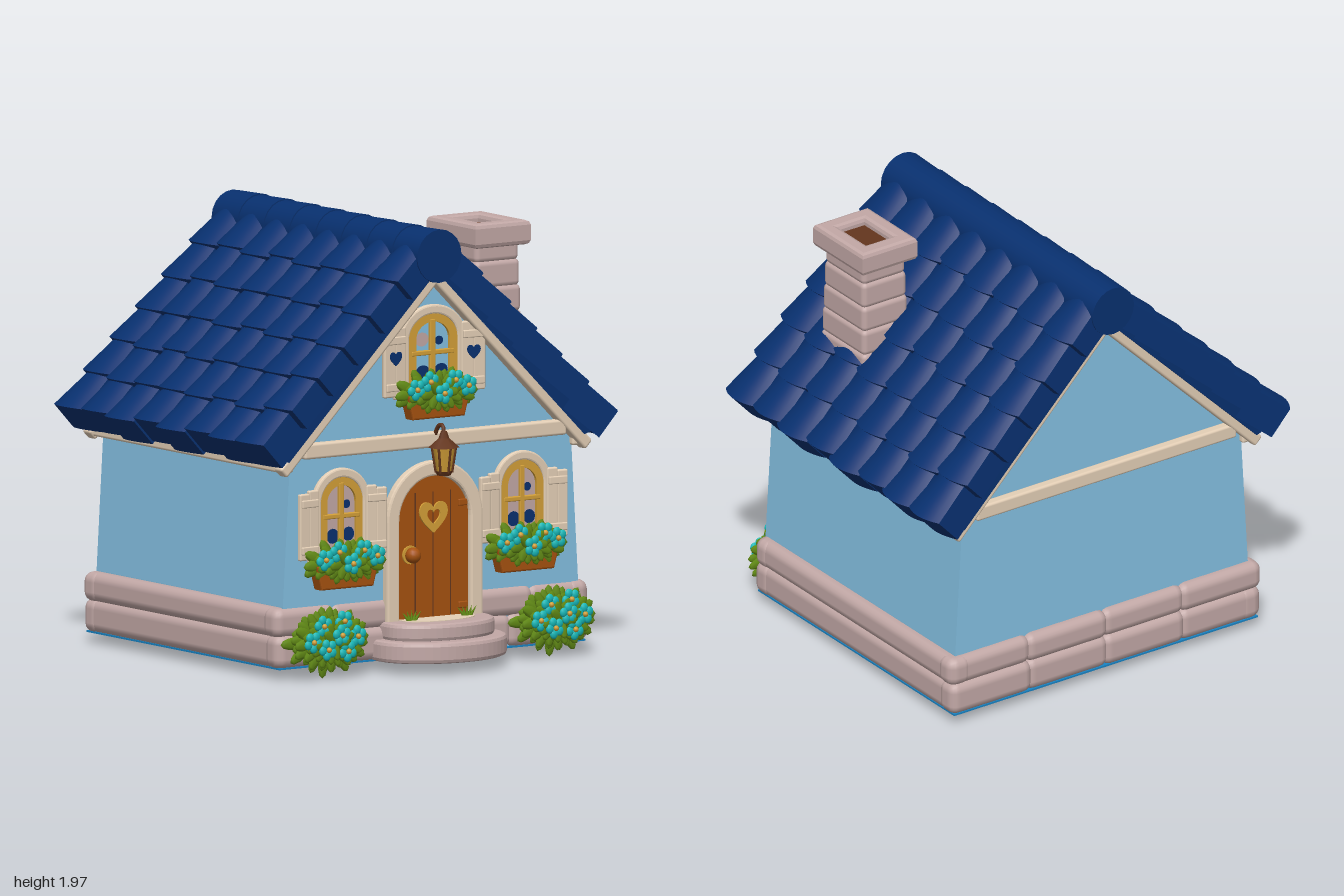
import * as THREE from 'three';
import { mergeGeometries } from 'three/addons/utils/BufferGeometryUtils.js';
import { RoundedBoxGeometry } from 'three/addons/geometries/RoundedBoxGeometry.js';

const paint = (name, color) => { const m = new THREE.MeshStandardMaterial({ color }); m.name = name; return m; };
const wallBlue = paint('wall blue', 0x84c0e2), roofBlue = paint('roof blue', 0x08306f), stone = paint('stone', 0xc2a8a6),
  cream = paint('cream', 0xe4cfb6), wood = paint('orange wood', 0xa65210), gold = paint('gold', 0xd4a038),
  leafGreen = paint('leaf green', 0x648e16), petal = paint('teal petal', 0x18bcbc), darkBrown = paint('dark brown', 0x64361e),
  floorBlue = paint('floor blue', 0x1a84c4);

export function createModel() {
  const model = new THREE.Group();
  model.name = 'cottage';
  const add = (parent, name, geo, mat, x = 0, y = 0, z = 0) => {
    const m = new THREE.Mesh(geo, mat);
    m.name = name; m.position.set(x, y, z); parent.add(m);
    return m;
  };
  const group = (parent, name, x = 0, y = 0, z = 0) => {
    const g = new THREE.Group(); g.name = name; g.position.set(x, y, z); parent.add(g);
    return g;
  };
  const rbox = (w, h, d, r = 0.012) => new RoundedBoxGeometry(w, h, d, 2, r);
  const poly = pts => new THREE.Shape(pts.map(p => new THREE.Vector2(...p)));
  const extrude = (shape, depth, bevel = 0) => new THREE.ExtrudeGeometry(shape, {
    depth, curveSegments: 14, bevelEnabled: bevel > 0, bevelSize: bevel, bevelThickness: bevel, bevelSegments: 2, bevelOffset: -bevel });
  const arch = (w, y0, y1, Type = THREE.Shape) => {
    const s = new Type();
    s.moveTo(-w, y0); s.lineTo(w, y0); s.lineTo(w, y1 - w); s.absarc(0, y1 - w, w, 0, Math.PI, false); s.lineTo(-w, y0);
    return s;
  };
  const archRing = (w, y0, y1, wi, yi0, yi1) => {
    const s = arch(w, y0, y1); s.holes.push(arch(wi, yi0, yi1, THREE.Path)); return s;
  };
  const heart = (r, Type = THREE.Shape) => {
    const s = new Type();
    s.moveTo(0, -r);
    s.bezierCurveTo(r * 0.5, -r * 0.6, r * 1.1, -r * 0.1, r, r * 0.4);
    s.bezierCurveTo(r * 0.9, r, r * 0.2, r, 0, r * 0.45);
    s.bezierCurveTo(-r * 0.2, r, -r * 0.9, r, -r, r * 0.4);
    s.bezierCurveTo(-r * 1.1, -r * 0.1, -r * 0.5, -r * 0.6, 0, -r);
    return s;
  };

  // Walls and floor
  add(model, 'walls', extrude(poly([[-0.8, 0.03], [0.8, 0.03], [0.8, 0.3], [0.76, 0.98], [0, 1.74], [-0.76, 0.98], [-0.8, 0.3]]),
    1.45), wallBlue, 0, 0, -0.83);
  add(model, 'floor', new THREE.BoxGeometry(1.66, 0.008, 1.5), floorBlue, 0, 0.026, -0.115);

  // Two courses of foundation stones, leaving the doorway clear
  const stones = [];
  const course = (y, h, hx, hz, n, gap) => {
    const row = (x0, x1, z) => {
      const len = (x1 - x0) / n;
      for (let i = 0; i < n; i++)
        stones.push(rbox(len + 0.03, h, 0.12 + 0.008 * Math.sin(i * 2.3 + y * 40), 0.045).translate(x0 + len * (i + 0.5), y, z));
    };
    for (const s of [-1, 1]) {
      row(s < 0 ? -hx : 0, s < 0 ? 0 : hx, 0.06 - hz);
      row(s < 0 ? -hx : gap, s < 0 ? -gap : hx, hz - 0.06);
      stones.push(rbox(0.12, h, 2 * hz, 0.045).translate(s * (hx - 0.05), y, 0));
    }
  };
  course(0.1, 0.155, 0.835, 0.765, 2, 0);
  course(0.23, 0.135, 0.84, 0.76, 2, 0.23);
  add(model, 'foundation', mergeGeometries(stones), stone, 0, 0, -0.115);

  // Roof: a slab and rows of overlapping curved tiles on each side, with a round ridge
  const roof = group(model, 'roof', 0, 0, -0.115);
  const slope = 0.749, tiles = [];
  for (let row = 0; row < 6; row++) for (let col = 0; col < 8; col++) {
    const thick = row === 0 ? 0.15 : 0.12;
    const g = new THREE.BoxGeometry(0.25, thick, 0.2, 3, 1, 8), p = g.attributes.position;
    const wobble = 0.012 * Math.sin(row * 5.1 + col * 2.7);
    for (let i = 0; i < p.count; i++) {
      const u = p.getX(i) / 0.25, v = p.getZ(i) / 0.1;
      p.setX(i, p.getX(i) - 0.025 * v * v * (u + 0.5));
      p.setY(i, p.getY(i) - thick / 2 - 0.008 - 0.03 * v * v + 0.014 * u);
      p.setZ(i, p.getZ(i) * (1 + 0.3 * u));
    }
    g.computeVertexNormals();
    tiles.push(g.translate(1.24 - row * 0.2 + wobble, 0, (col - 3.5) * 0.2).rotateZ(-slope).translate(0, 1.985, 0));
  }
  const tileGeo = mergeGeometries(tiles);
  const slabGeo = extrude(poly([[0, 1.75], [0.8, 0.955], [0.88, 0.985], [0.9, 1.04], [0.08, 1.83], [0, 1.86]]), 1.57);
  slabGeo.translate(0, 0, -0.785);
  for (const turn of [0, Math.PI]) {
    add(roof, 'roofTiles', tileGeo, roofBlue).rotation.y = turn;
    add(roof, 'roofSlab', slabGeo, roofBlue).rotation.y = turn;
  }
  for (let i = 0; i < 8; i++) {
    const cap = new THREE.CylinderGeometry(0.12, 0.114, 0.21, 20).rotateX(Math.PI / 2);
    add(roof, 'ridgeTile', cap, roofBlue, 0, 1.822, (i - 3.5) * 0.2);
  }

  // Cream gable trim, cross beams and eave beams
  for (const z of [0.64, -0.85]) {
    add(model, 'crossBeam', rbox(1.42, 0.07, 0.05), cream, 0, 0.995, z);
    for (const s of [-1, 1]) {
      const bar = add(model, 'gableTrim', rbox(1.18, 0.055, 0.06), cream, s * 0.41, 1.322, z);
      bar.rotation.z = -s * 0.783;
    }
  }
  for (const s of [-1, 1]) add(model, 'eaveBeam', rbox(0.07, 0.05, 1.5), cream, s * 0.79, 0.93, -0.105);

  // Chimney with a hollow cap
  const chimney = group(model, 'chimney', 0.53, 0, 0.235);
  for (let i = 0; i < 5; i++)
    add(chimney, 'chimneyCourse', rbox(0.26 - 0.006 * i, 0.125, 0.34 - 0.01 * i, 0.025), stone, 0, 1.32 + i * 0.115, 0);
  const capShape = poly([[-0.15, -0.19], [0.15, -0.19], [0.15, 0.19], [-0.15, 0.19]]);
  capShape.holes.push(poly([[-0.07, -0.105], [-0.07, 0.105], [0.07, 0.105], [0.07, -0.105]]));
  add(chimney, 'chimneyCap', extrude(capShape, 0.07, 0.02).rotateX(-Math.PI / 2), stone, 0, 1.81, 0);
  add(chimney, 'flue', new THREE.BoxGeometry(0.17, 0.008, 0.24), darkBrown, 0, 1.86, 0);

  // Half-round front steps with a worn tread
  const step = (name, w, d, h, y, bevel, mat) => {
    const s = new THREE.Shape();
    s.absellipse(0, 0, w, d, Math.PI, 2 * Math.PI, false);
    s.lineTo(w, 0.1); s.lineTo(-w, 0.1);
    add(model, name, extrude(s, h - 2 * bevel, bevel).rotateX(-Math.PI / 2), mat, 0, y + bevel, 0.68);
  };
  step('lowerStep', 0.33, 0.25, 0.095, 0.025, 0.018, stone);
  step('upperStep', 0.28, 0.18, 0.08, 0.115, 0.018, stone);
  step('tread', 0.19, 0.09, 0.006, 0.192, 0, cream);

  // Arched door
  const door = group(model, 'door', 0, 0, 0.62);
  add(door, 'doorFrame', extrude(archRing(0.26, 0.15, 0.9, 0.192, 0.17, 0.832), 0.025, 0.01), cream, 0, 0, 0.005);
  add(door, 'doorPanel', extrude(arch(0.2, 0.16, 0.84), 0.018), wood);
  for (const x of [-0.095, 0, 0.095])
    add(door, 'doorGroove', new THREE.BoxGeometry(0.005, 0.56, 0.004), darkBrown, x, 0.48, 0.018);
  const ring = heart(0.075); ring.holes.push(heart(0.035, THREE.Path));
  add(door, 'doorHeart', extrude(ring, 0.009), gold, 0, 0.65, 0.018);
  add(door, 'doorKnob', new THREE.SphereGeometry(0.036, 14, 10), wood, -0.125, 0.485, 0.045);
  add(door, 'knobPlate', new THREE.CylinderGeometry(0.042, 0.042, 0.008, 16).rotateX(Math.PI / 2), gold, -0.125, 0.485, 0.022);
  for (const y of [0.24, 0.7]) add(door, 'hinge', rbox(0.05, 0.03, 0.012, 0.005), wood, 0.16, y, 0.022);

  // Foliage: leaves fanned over a flattened dome, dotted with five-petal flowers
  const foliage = (parent, name, x, y, z, rx, ry, rz, leafCount, spots) => {
    const g = group(parent, name, x, y, z), leaves = [], petals = [], hearts = [];
    for (let i = 0; i < leafCount; i++) {
      const a = i * 2.39996, q = Math.sqrt((i + 0.5) / leafCount), k = 0.9 + 0.12 * Math.sin(i * 3.7);
      const leaf = new THREE.SphereGeometry(1, 6, 5).scale(0.028, 0.066, 0.012).rotateX(0.35 * (1 - q)).rotateZ(a - Math.PI / 2);
      leaves.push(leaf.translate(Math.cos(a) * q * (rx - 0.045) * k, Math.sin(a) * q * (ry - 0.045) * k, rz * (1 - 0.8 * q * q)));
    }
    for (const [fx, fy] of spots) {
      const h = rz * (1 - 0.6 * (fx * fx + fy * fy)) + 0.016, px = fx * rx, py = fy * ry;
      for (let j = 0; j < 5; j++) {
        const a = j * Math.PI * 0.4 + fx * 3;
        petals.push(new THREE.SphereGeometry(1, 8, 6).scale(0.022, 0.022, 0.01)
          .translate(px + 0.028 * Math.cos(a), py + 0.028 * Math.sin(a), h));
      }
      hearts.push(new THREE.SphereGeometry(0.013, 8, 6).translate(px, py, h + 0.008));
    }
    add(g, 'leaves', mergeGeometries(leaves), leafGreen);
    add(g, 'petals', mergeGeometries(petals), petal);
    add(g, 'flowerCentres', mergeGeometries(hearts), gold);
  };
  const boxSpots = [[-0.58, 0.2], [-0.28, 0.5], [0, -0.05], [0.28, 0.5], [0.58, 0.2]];
  const bushSpots = [[-0.5, 0.05], [-0.25, 0.5], [-0.18, -0.2], [0.14, 0.2], [0.25, 0.6], [0.3, -0.3], [0.55, 0.12]];
  for (const s of [-1, 1]) {
    foliage(model, 'bush', s * 0.615, 0.145, 0.665, 0.23, 0.15, 0.09, 75, bushSpots);
    // Grass tufts beside the door
    for (let i = -2; i <= 2; i++) {
      const blade = add(model, 'grassBlade', new THREE.ConeGeometry(0.011, 0.06, 5), leafGreen, s * 0.15 + i * 0.016, 0.215, 0.69);
      blade.rotation.z = -i * 0.35;
    }
  }

  // Arched window with shutters and a flower box
  const makeWindow = (name, x, y, wide, glass, hearted) => {
    const w = group(model, name, x, y, 0.62), f = group(w, 'windowFrame');
    f.scale.x = wide;
    add(f, 'surround', extrude(archRing(0.155, 0.47, 0.905, 0.113, 0.5, 0.863), 0.014, 0.008), cream, 0, 0, 0.004);
    add(f, 'sash', extrude(archRing(0.116, 0.49, 0.866, 0.078, 0.52, 0.828), 0.02), gold);
    add(f, 'glass', extrude(arch(0.1, 0.5, 0.85), 0.006), glass);
    for (const [px, py, r] of [[-0.04, 0.6, 0.034], [0.045, 0.605, 0.032], [0.035, 0.74, 0.02]])
      add(f, 'paneReflection', new THREE.CircleGeometry(r, 12), roofBlue, px, py, 0.0075);
    if (hearted) add(f, 'curtain', new THREE.CircleGeometry(0.032, 12), stone, -0.045, 0.75, 0.0075);
    add(f, 'mullion', rbox(0.026, 0.34, 0.02, 0.005), gold, 0, 0.67, 0.012);
    add(f, 'crossbar', rbox(0.2, 0.022, 0.02, 0.005), gold, 0, 0.69, 0.012);
    for (const s of [-1, 1]) {
      const sh = group(w, 'shutter', s * 0.183 * wide, 0.655, 0.022);
      sh.rotation.y = -s * 0.08;
      [-1, 1].forEach(k => add(sh, 'plank', rbox(0.056 * wide, k === s ? 0.3 : 0.325, 0.024, 0.008), cream, k * 0.026 * wide, 0, 0));
      for (const by of [-0.105, 0.105]) add(sh, 'batten', rbox(0.095 * wide, 0.035, 0.014, 0.005), cream, 0, by, 0.014);
      if (hearted) add(sh, 'shutterHeart', extrude(heart(0.034), 0.004), roofBlue, 0, 0.025, 0.011);
    }
    const up = hearted ? 0.03 : 0;
    add(w, 'flowerBox', extrude(poly([[-0.14, 0], [0.14, 0], [0.17, 0.11], [-0.17, 0.11]]), 0.05, 0.008), wood, 0, 0.37 + up, 0.012);
    foliage(w, 'windowFlowers', 0, 0.49 + up, 0.035, 0.24, 0.1, 0.055, 50, boxSpots);
  };
  makeWindow('leftWindow', 0.485, 0, 1, stone, false);
  makeWindow('rightWindow', -0.495, 0, 1, stone, false);
  makeWindow('atticWindow', 0, 0.695, 1.16, wallBlue, true);

  // Hanging lantern over the door
  const lantern = group(model, 'lantern', 0, 0, 0.725);
  const tier = (name, top, bottom, h, y, mat) => add(lantern, name, new THREE.CylinderGeometry(top, bottom, h, 6), mat, 0, y, 0);
  tier('lanternGlass', 0.052, 0.034, 0.11, 0.915, gold);
  tier('lanternBase', 0.04, 0.03, 0.02, 0.852, darkBrown);
  tier('lanternRoof', 0.02, 0.07, 0.045, 0.99, darkBrown);
  tier('lanternCap', 0.014, 0.024, 0.03, 1.025, darkBrown);
  for (let i = 0; i < 6; i++) {
    const a = i * Math.PI / 3, top = new THREE.Vector3(0.054 * Math.sin(a), 0.97, 0.054 * Math.cos(a));
    const path = new THREE.LineCurve3(top, new THREE.Vector3(0.036 * Math.sin(a), 0.855, 0.036 * Math.cos(a)));
    add(lantern, 'lanternRib', new THREE.TubeGeometry(path, 1, 0.006, 5), darkBrown);
  }
  const hook = new THREE.CatmullRomCurve3([[0, 1.03, 0], [0, 1.065, -0.01], [0, 1.06, -0.04], [0, 1.0, -0.08]].map(p => new THREE.Vector3(...p)));
  add(lantern, 'lanternHook', new THREE.TubeGeometry(hook, 10, 0.01, 6), darkBrown);
  return model;
}
